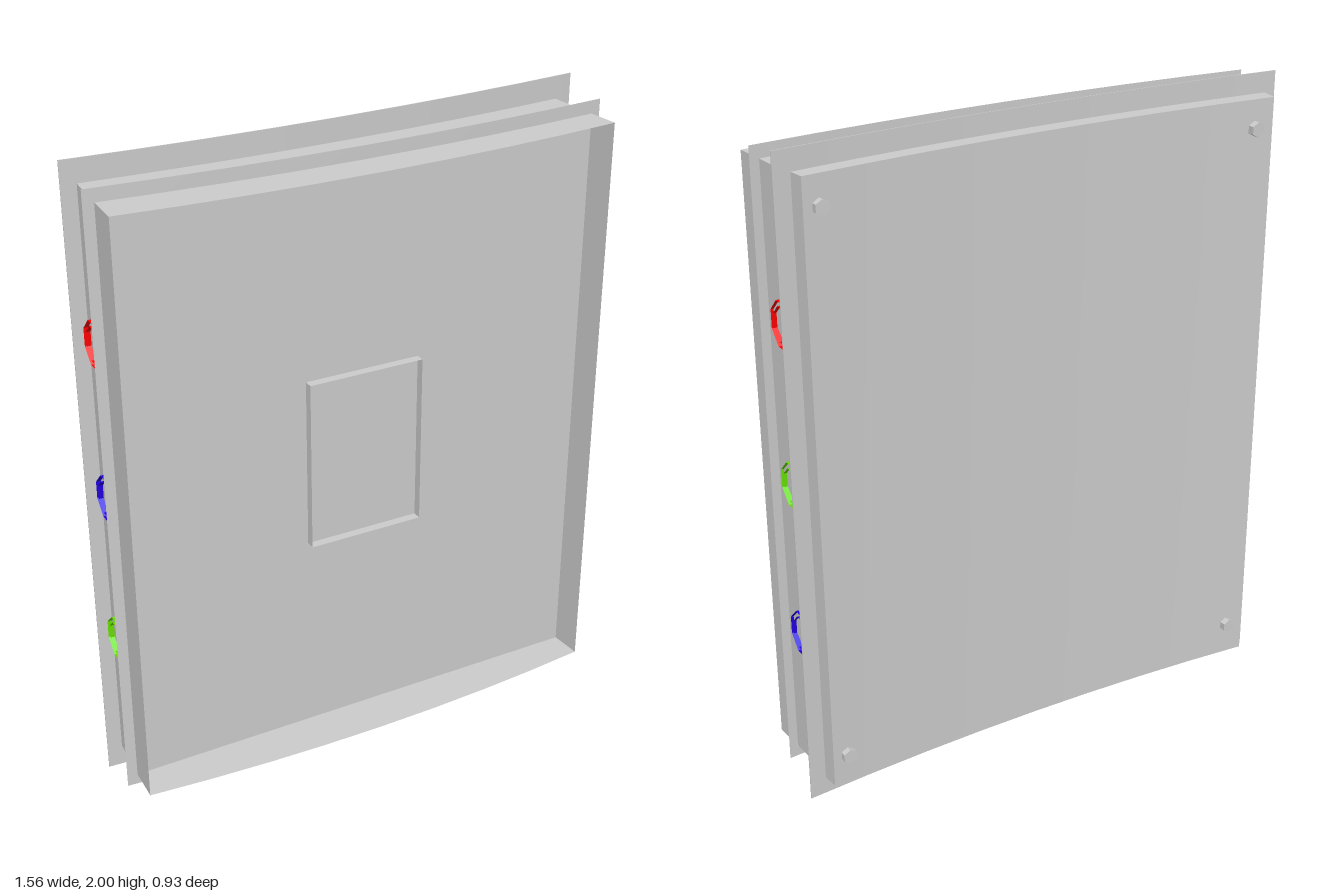
import * as THREE from 'three';
import { toCreasedNormals } from 'three/addons/utils/BufferGeometryUtils.js';

const SEG = 8;
const YAW = Math.atan2(0.64, 1.46); // the panel stands turned about y
const U = [Math.cos(YAW), Math.sin(YAW)]; // along the width (x, z)
const N = [-U[1], U[0]]; // towards the front

const material = (color = 0xcccccc) =>
  new THREE.MeshStandardMaterial({ color, side: THREE.DoubleSide });

// Shallow arc from a to b in plan, bowed forward by s
const arc = (a, b, s) => (t) => {
  const k = 4 * s * t * (1 - t);
  return [0, 1].map((i) => a[i] + (b[i] - a[i]) * t + N[i] * k);
};
const sample = (f, t0 = 0, t1 = 1) =>
  Array.from({ length: SEG + 1 }, (_, i) => f(t0 + ((t1 - t0) * i) / SEG));
const shift = (points, d) => points.map((p) => [p[0] + N[0] * d, p[1] + N[1] * d]);

// Upright shell between a front and a back plan curve; faces picks its sides
function shell(name, front, back, y0, y1, faces) {
  const pos = [];
  const quad = (...c) => {
    for (const i of [0, 1, 2, 0, 2, 3]) pos.push(c[i][0][0], c[i][1], c[i][0][1]);
  };
  for (let i = 0; i < SEG; i++) {
    const [f, g, b, c] = [front[i], front[i + 1], back[i], back[i + 1]];
    if (faces.includes('F')) quad([f, y0], [g, y0], [g, y1], [f, y1]);
    if (faces.includes('B')) quad([c, y0], [b, y0], [b, y1], [c, y1]);
    if (faces.includes('W')) {
      quad([f, y1], [g, y1], [c, y1], [b, y1]);
      quad([b, y0], [c, y0], [g, y0], [f, y0]);
    }
  }
  if (faces.includes('W')) {
    quad([front[SEG], y0], [back[SEG], y0], [back[SEG], y1], [front[SEG], y1]);
    quad([back[0], y0], [front[0], y0], [front[0], y1], [back[0], y1]);
  }
  const geo = new THREE.BufferGeometry();
  geo.setAttribute('position', new THREE.Float32BufferAttribute(pos, 3));
  const mesh = new THREE.Mesh(toCreasedNormals(geo, 0.4), material());
  mesh.name = name;
  return mesh;
}

export function createModel() {
  const group = new THREE.Group();

  const frontEdge = arc([-0.78, -0.17], [0.64, 0.462], 0.042);
  const innerArc = arc([-0.76, -0.285], [0.7, 0.375], 0.04);
  const outerArc = arc([-0.7, -0.427], [0.78, 0.224], 0.037);
  const slabFront = arc([-0.66, -0.418], [0.739, 0.197], 0.037);
  const slabBack = arc([-0.63, -0.465], [0.753, 0.149], 0.037);

  // Inner flange: a thin curved frame around the box
  const T0 = 0.02, T1 = 0.982;
  for (const [t0, t1, y0, y1] of [
    [0, 1, 0.035, 0.07], [0, 1, 1.93, 1.97], [0, T0, 0.07, 1.93], [T1, 1, 0.07, 1.93],
  ]) {
    const strip = sample(innerArc, t0, t1);
    group.add(shell('innerFlange', strip, strip, y0, y1, 'F'));
  }

  // Outer flange: a thin curved sheet
  const outer = sample(outerArc);
  group.add(shell('outerFlange', outer, shift(outer, -0.003), 0, 2, 'FBW'));

  // Open tray walls in front of the inner flange, body walls behind it
  const waist = sample(innerArc, T0, T1);
  group.add(shell('trayWalls', sample(frontEdge), waist, 0.07, 1.93, 'W'));
  group.add(shell('bodyWalls', waist, sample(outerArc, 0.028, 0.967), 0.07, 1.93, 'W'));

  // Flat tray floor with a raised rectangular rim
  const floorLine = arc(waist[0], waist[SEG], 0);
  const floor = sample(floorLine);
  group.add(shell('trayFloor', floor, floor, 0.07, 1.93, 'F'));
  const rim = sample(floorLine, 0.387, 0.628);
  group.add(shell('floorRim', shift(rim, 0.028), rim, 0.73, 1.275, 'W'));

  // Back cover
  group.add(shell('backCover', sample(slabFront), sample(slabBack), 0.062, 1.94, 'FBW'));

  // Coloured octagonal sleeves on both ends
  const RED = 0xff0000, GREEN = 0x66dd00, BLUE = 0x2200dd;
  for (const { name, at, side, colors } of [
    { name: 'leftSleeve', at: [0.717, 0.282], side: 1, colors: [RED, GREEN, BLUE] },
    { name: 'rightSleeve', at: [-0.703, -0.346], side: -1, colors: [RED, BLUE, GREEN] },
  ]) {
    colors.forEach((color, i) => {
      const sleeve = new THREE.Group();
      sleeve.name = name;
      for (const r of [0.073, 0.056]) {
        const geo = new THREE.CylinderGeometry(r, r, 0.08, 8, 1, true);
        geo.rotateY(Math.PI / 8).rotateZ(-Math.PI / 2).rotateY(-YAW);
        const mat = material(color);
        mat.flatShading = true;
        sleeve.add(new THREE.Mesh(geo, mat));
      }
      const d = -0.04 * side;
      sleeve.position.set(at[0] + U[0] * d, [1.49, 1.005, 0.52][i], at[1] + U[1] * d);
      group.add(sleeve);
    });
  }

  // Hexagonal bolts at the corners of the back cover
  for (const t of [0.041, 0.968]) {
    for (const y of [0.157, 1.853]) {
      const geo = new THREE.CylinderGeometry(0.023, 0.023, 0.03, 6);
      geo.rotateX(Math.PI / 2).rotateY(-YAW);
      const mat = material();
      mat.flatShading = true;
      const bolt = new THREE.Mesh(geo, mat);
      bolt.name = 'coverBolt';
      const [p] = shift([slabBack(t)], -0.005);
      bolt.position.set(p[0], y, p[1]);
      group.add(bolt);
    }
  }
  return group;
}
